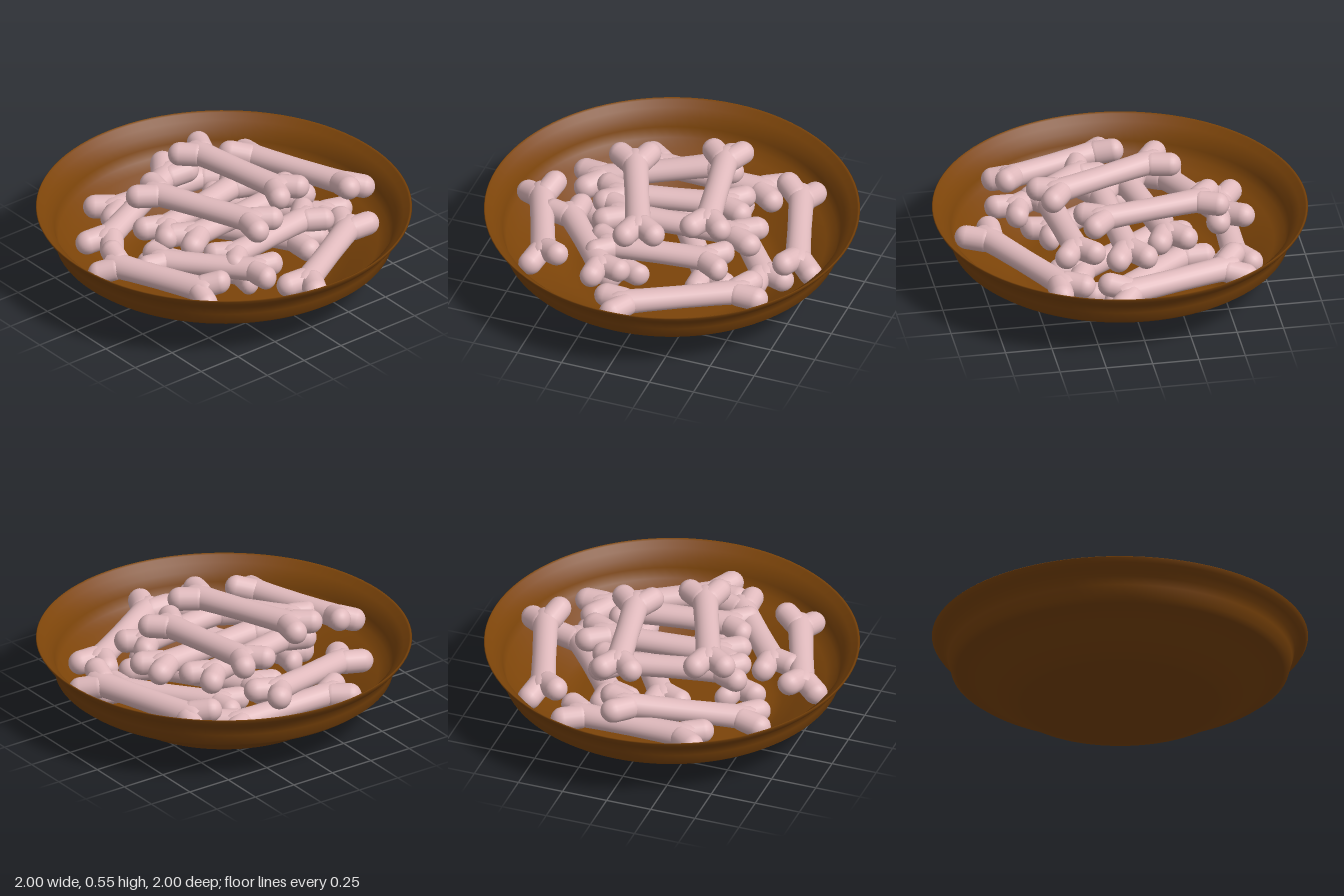
import * as THREE from 'three';
import { mergeGeometries } from 'three/addons/utils/BufferGeometryUtils.js';

const SPAN = 0.73; // distance between the knob pairs of a bone
const vec = (p) => new THREE.Vector3(...p);

// Rounded bar between two points
function capsule(a, b, r) {
  const dir = b.clone().sub(a);
  const g = new THREE.CapsuleGeometry(r, dir.length(), 8, 20);
  g.applyQuaternion(new THREE.Quaternion().setFromUnitVectors(
    new THREE.Vector3(0, 1, 0), dir.clone().normalize()));
  const m = a.clone().add(b).multiplyScalar(0.5);
  return g.translate(m.x, m.y, m.z);
}

// Bone lying along x: a waisted shaft flaring into two knobs at each end
function boneGeometry() {
  const profile = [[0.05, -0.35], [0.063, -0.32], [0.064, -0.27], [0.061, -0.18], [0.059, 0],
    [0.061, 0.18], [0.064, 0.27], [0.063, 0.32], [0.05, 0.35]]
    .map(([r, y]) => new THREE.Vector2(r, y));
  const shaft = new THREE.LatheGeometry(profile, 24).rotateZ(-Math.PI / 2).scale(1, 1, 1.1);
  const parts = [shaft];
  for (const sx of [-1, 1]) {
    for (const sz of [-1, 1]) {
      parts.push(capsule(vec([sx * 0.29, 0, sz * 0.025]),
        vec([sx * 0.366, 0, sz * 0.076]), 0.0635));
    }
  }
  return mergeGeometries(parts);
}

// Thin-walled dish: outer wall upward, round the lip, then inner wall down
function bowlGeometry() {
  const pts = [[0, 0], [0.49, 0], [0.55, 0.01], [0.6, 0.03], [0.68, 0.08], [0.76, 0.135],
    [0.82, 0.172], [0.87, 0.186], [0.9, 0.21], [0.915, 0.27], [0.93, 0.315],
    [0.965, 0.347], [0.985, 0.37], [1, 0.395], [0.995, 0.4], [0.985, 0.393],
    [0.955, 0.362], [0.918, 0.328], [0.9, 0.275], [0.88, 0.22],
    [0.82, 0.19], [0.75, 0.15], [0.67, 0.1],
    [0.59, 0.05], [0.54, 0.032], [0.48, 0.025], [0, 0.025]];
  return new THREE.LatheGeometry(pts.map(([r, y]) => new THREE.Vector2(r, y)), 96);
}

export function createModel() {
  const model = new THREE.Group();
  const brown = new THREE.MeshStandardMaterial({ color: 0x7c4409 });
  brown.name = 'brown clay';
  const pink = new THREE.MeshStandardMaterial({ color: 0xe0babd });
  pink.name = 'pale pink bone';

  const bowl = new THREE.Mesh(bowlGeometry(), brown);
  bowl.name = 'bowl';
  model.add(bowl);

  // Each bone: centre of its first and second knob pair, and roll about its length
  const layers = {
    topBone: [
      [[-0.475, 0.482, -0.14], [0.21, 0.482, -0.27]],
      [[-0.28, 0.482, 0.315], [0.395, 0.482, 0.04]],
    ],
    middleBone: [
      [[-0.23, 0.34, -0.31], [-0.08, 0.34, 0.4]],
      [[0.015, 0.34, -0.46], [0.07, 0.34, 0.33]],
      [[0.28, 0.34, -0.38], [0.36, 0.34, 0.28]],
      [[-0.575, 0.33, -0.12], [-0.305, 0.23, 0.6]],
      [[0.08, 0.31, 0.565], [0.585, 0.33, 0.16]],
    ],
    outerBone: [
      [[-0.55, 0.285, -0.53], [0.155, 0.305, -0.77], -0.4],
      [[-0.055, 0.305, 0.76], [0.56, 0.315, 0.52], 0.4],
      [[0.36, 0.255, -0.595], [0.755, 0.27, 0.07]],
    ],
    lowerBone: [
      [[-0.565, 0.21, -0.38], [-0.58, 0.22, 0.355]],
      [[-0.36, 0.2, -0.19], [0.19, 0.2, -0.62]],
      [[-0.29, 0.2, 0.07], [0.33, 0.2, -0.34]],
      [[-0.09, 0.2, 0.42], [0.41, 0.2, 0.12]],
    ],
  };
  const geometry = boneGeometry();
  for (const [name, list] of Object.entries(layers)) {
    list.forEach(([a, b, roll = 0], i) => {
      const start = vec(a), end = vec(b);
      const dir = end.clone().sub(start);
      const bone = new THREE.Mesh(geometry, pink);
      bone.name = `${name}${i + 1}`;
      bone.position.copy(start).add(end).multiplyScalar(0.5);
      bone.rotation.set(roll, Math.atan2(-dir.z, dir.x), Math.asin(dir.y / dir.length()), 'YZX');
      bone.scale.x = dir.length() / SPAN;
      model.add(bone);
    });
  }
  return model;
}
